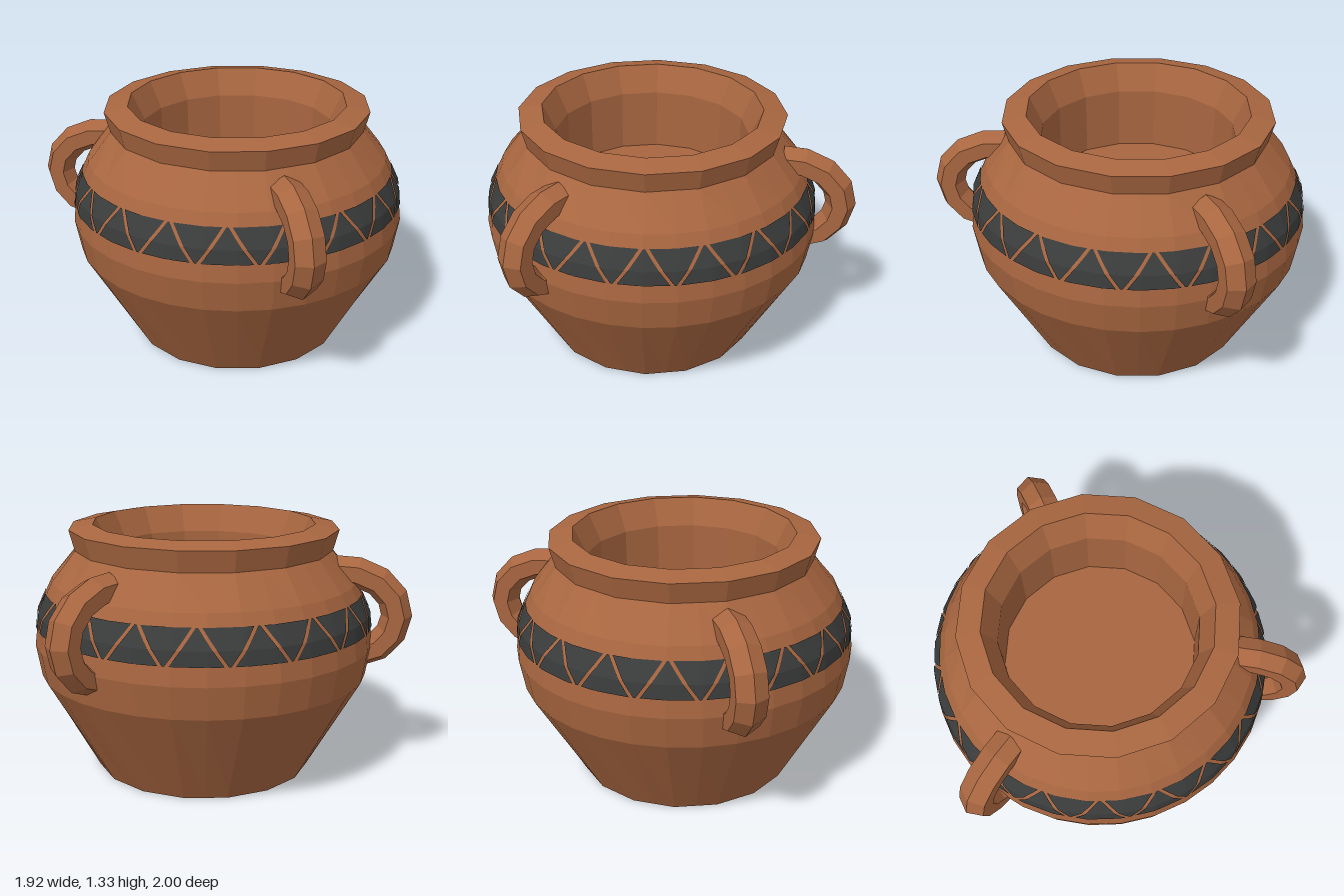
import * as THREE from 'three';

const clay = new THREE.MeshStandardMaterial({ color: 0xa86640 });
clay.name = 'terracotta';
const paint = new THREE.MeshStandardMaterial({ color: 0x3b3c3c });
paint.name = 'charcoal paint';

const SIDES = 32;
const STEP = (Math.PI * 2) / SIDES;
const PHASE = THREE.MathUtils.degToRad(15);

// Profile rows: radius, height, true where the ring has only half the sides
const PROFILE = [
  [0, 0, true], [0.575, 0, true], [0.87, 0.53, false], [0.9, 0.7, false],
  [0.88, 0.87, false], [0.805, 1.03, false], [0.68, 1.19, true],
  [0.71, 1.3, true], [0.585, 1.325, true], [0.515, 1.18, true],
  [0.51, 0.85, true], [0, 0.85, true],
];

function faceted(geometry) {
  const flat = geometry.index ? geometry.toNonIndexed() : geometry;
  flat.computeVertexNormals();
  return flat;
}

function makeMesh(name, geometry, material) {
  const mesh = new THREE.Mesh(geometry, material);
  mesh.name = name;
  return mesh;
}

// Grid surface from point(u, v), with u and v as whole steps
function grid(nu, nv, point) {
  const pos = [], index = [];
  for (let i = 0; i <= nu; i++) {
    for (let j = 0; j <= nv; j++) pos.push(...point(i, j));
  }
  for (let i = 0; i < nu; i++) {
    for (let j = 0; j < nv; j++) {
      const a = i * (nv + 1) + j, b = a + nv + 1;
      index.push(a, b, a + 1, b, b + 1, a + 1);
    }
  }
  const g = new THREE.BufferGeometry();
  g.setAttribute('position', new THREE.Float32BufferAttribute(pos, 3));
  g.setIndex(index);
  return g;
}

// Pot wall, rim and inside in one turned shape
function potGeometry() {
  const points = PROFILE.map(([r, y]) => new THREE.Vector2(r, y));
  const g = new THREE.LatheGeometry(points, SIDES, PHASE);
  const p = g.attributes.position;
  const flatten = Math.cos(STEP);
  for (let i = 0; i < p.count; i++) {
    const column = Math.floor(i / PROFILE.length);
    if (column % 2 && PROFILE[i % PROFILE.length][2]) {
      p.setX(i, p.getX(i) * flatten);
      p.setZ(i, p.getZ(i) * flatten);
    }
  }
  return faceted(g);
}

// Point just outside the faceted wall
function onWall(angle, y) {
  let k = 2;
  while (y > PROFILE[k + 1][1]) k++;
  const [r0, y0] = PROFILE[k], [r1, y1] = PROFILE[k + 1];
  const r = r0 + ((r1 - r0) * (y - y0)) / (y1 - y0);
  const turn = (((angle - PHASE) % STEP) + STEP) % STEP - STEP / 2;
  const d = (r * Math.cos(STEP / 2)) / Math.cos(turn) + 0.006;
  return [d * Math.sin(angle), y, d * Math.cos(angle)];
}

// Painted triangle, pointing up or down
function triangleGeometry(angle, half, up) {
  const rows = [0.795, 0.833, 0.87, 0.92, 0.97];
  return faceted(grid(8, 4, (i, j) => {
    const t = (rows[j] - 0.795) / 0.175;
    const width = half * (up ? 1 - t : t) + 0.006;
    return onWall(angle + width * (i / 4 - 1), rows[j]);
  }));
}

// Six-sided handle swept along an arc in the radius-height plane
function handleGeometry() {
  const path = [
    [0.70, 1.085], [0.81, 1.08], [0.92, 1.035], [0.995, 0.955],
    [1.02, 0.86], [0.995, 0.765], [0.93, 0.69], [0.82, 0.65],
  ];
  const last = path.length - 1;
  const body = grid(last, 6, (i, j) => {
    const a = path[Math.max(i - 1, 0)], b = path[Math.min(i + 1, last)];
    const tr = b[0] - a[0], ty = b[1] - a[1], len = Math.hypot(tr, ty);
    const angle = (j * Math.PI) / 3;
    const out = 0.08 * Math.cos(angle), side = 0.092 * Math.sin(angle);
    return [side, path[i][1] + (out * tr) / len, path[i][0] - (out * ty) / len];
  });
  // End caps
  const index = Array.from(body.index.array);
  for (let j = 1; j < 5; j++) {
    index.push(0, j, j + 1);
    index.push(last * 7, last * 7 + j + 1, last * 7 + j);
  }
  // Make the winding face away from the middle of the handle
  const p = body.attributes.position;
  const v = (n) => new THREE.Vector3().fromBufferAttribute(p, index[n]);
  const normal = v(1).sub(v(0)).cross(v(2).sub(v(0)));
  const centre = new THREE.Vector3(0, path[0][1], path[0][0]);
  if (normal.dot(v(0).sub(centre)) < 0) {
    for (let n = 0; n < index.length; n += 3) {
      [index[n + 1], index[n + 2]] = [index[n + 2], index[n + 1]];
    }
  }
  body.setIndex(index);
  return faceted(body);
}

export function createModel() {
  const model = new THREE.Group();
  model.name = 'handledPot';
  model.position.z = -0.1;

  model.add(makeMesh('potBody', potGeometry(), clay));

  // Zigzag band
  const band = new THREE.Group();
  band.name = 'paintedBand';
  const count = 18, period = (Math.PI * 2) / count;
  for (let i = 0; i < count; i++) {
    const angle = i * period - 0.035;
    band.add(makeMesh('upTriangle', triangleGeometry(angle, period * 0.4, true), paint));
    band.add(makeMesh('downTriangle', triangleGeometry(angle + period / 2, period * 0.4, false), paint));
  }
  model.add(band);

  // Three handles evenly spaced
  const handle = handleGeometry();
  for (let i = 0; i < 3; i++) {
    const mesh = makeMesh('handle', handle, clay);
    mesh.rotation.y = (i * Math.PI * 2) / 3;
    model.add(mesh);
  }

  const root = new THREE.Group();
  root.name = 'pot';
  root.add(model);
  return root;
}
